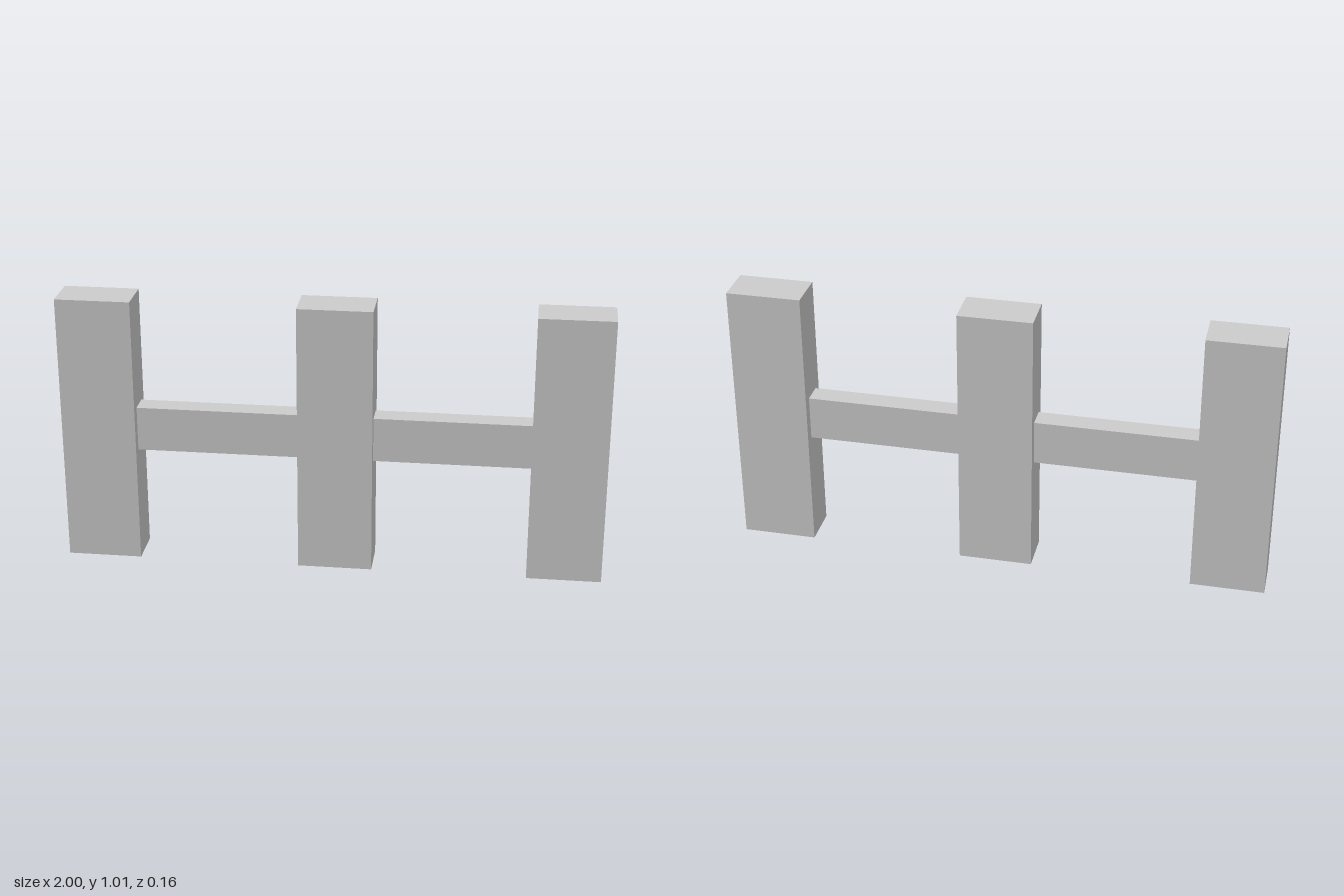
import * as THREE from 'three';

export function createModel() {
  const group = new THREE.Group();
  const material = new THREE.MeshStandardMaterial({ color: 0xcccccc, flatShading: true });

  // Box given by its x span, y span and depth, centred on z = 0
  const addBox = (name, [x0, x1], [y0, y1], depth) => {
    const mesh = new THREE.Mesh(new THREE.BoxGeometry(x1 - x0, y1 - y0, depth), material);
    mesh.position.set((x0 + x1) / 2, (y0 + y1) / 2, 0);
    mesh.name = name;
    group.add(mesh);
  };

  // Three upright posts, the middle one slightly off centre
  const posts = { rightPost: [-1, -0.725], middlePost: [-0.125, 0.15], leftPost: [0.725, 1] };
  for (const [name, span] of Object.entries(posts)) addBox(name, span, [0, 1.015], 0.155);

  // Thinner rails bridging the gaps between posts
  addBox('rightRail', [posts.rightPost[1], posts.middlePost[0]], [0.427, 0.594], 0.081);
  addBox('leftRail', [posts.middlePost[1], posts.leftPost[0]], [0.427, 0.594], 0.081);

  return group;
}
